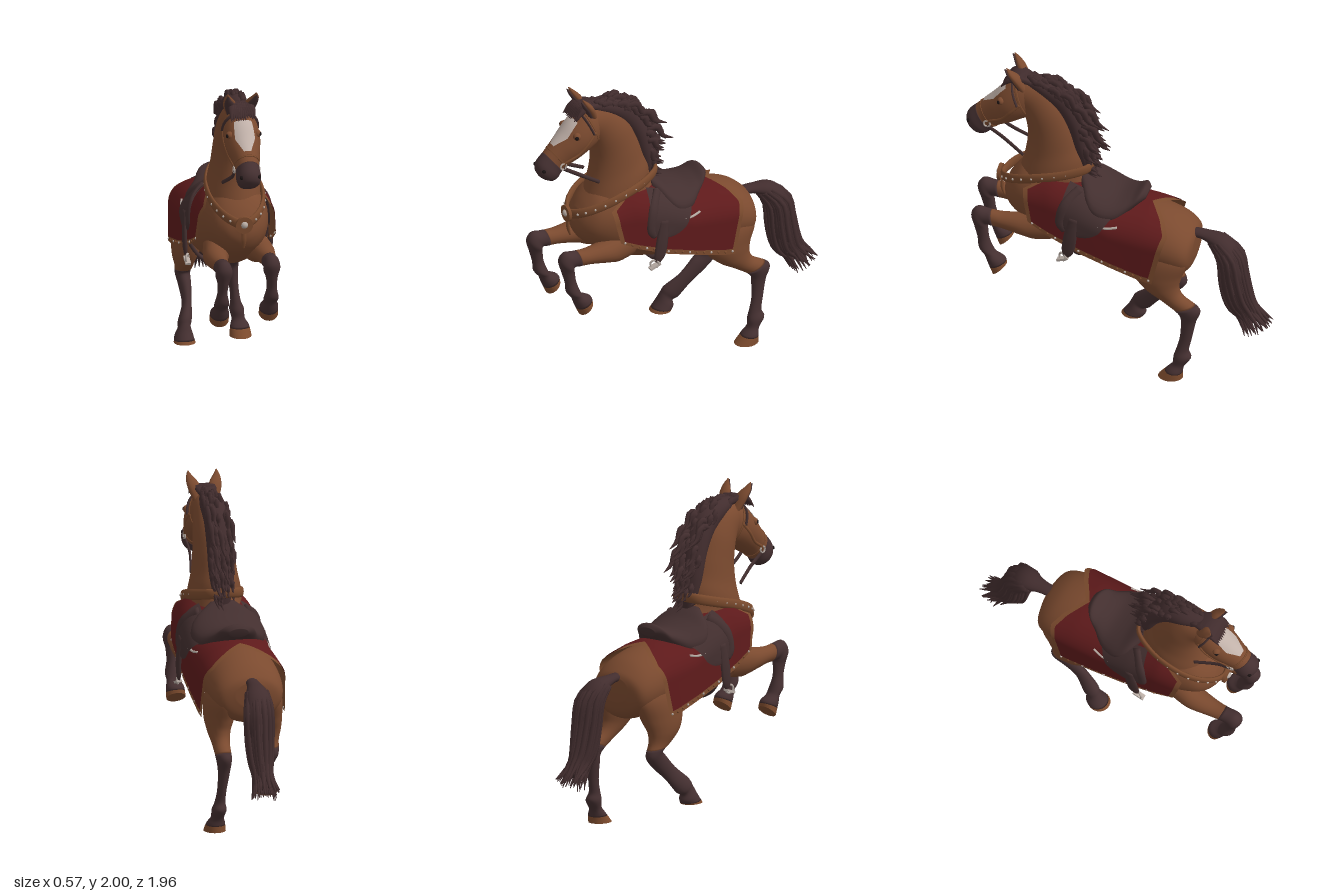
import * as THREE from 'three';
import { toCreasedNormals } from 'three/addons/utils/BufferGeometryUtils.js';

const V = (x, y, z) => new THREE.Vector3(x, y, z);
const { clamp, lerp } = THREE.MathUtils;

const paint = (name, color, side = THREE.FrontSide) => {
  const m = new THREE.MeshStandardMaterial({ color, side });
  m.name = name;
  return m;
};

// Smooth interpolation of a table of rows, s counted in rows
function sample(rows, s) {
  const i = clamp(Math.floor(s), 0, rows.length - 2), f = s - i;
  const R = k => rows[clamp(k, 0, rows.length - 1)];
  return rows[i].map((b, c) => {
    const a = R(i - 1)[c], d = R(i + 1)[c], e = R(i + 2)[c];
    return b + 0.5 * f * (d - a + f * (2 * a - 5 * b + 4 * d - e + f * (3 * (b - d) + e - a)));
  });
}

// Grid surface; closed skins are turned to face outwards
function grid(nu, nv, fn, wrap = false) {
  const pos = [], idx = [], cols = wrap ? nv : nv + 1;
  for (let i = 0; i <= nu; i++) for (let j = 0; j < cols; j++) pos.push(fn(i, j));
  for (let i = 0; i < nu; i++) for (let j = 0; j < nv; j++) {
    const k = (j + 1) % cols, a = i * cols + j, b = a + cols, c = (i + 1) * cols + k, d = i * cols + k;
    idx.push(a, b, c, a, c, d);
  }
  let vol = 0;
  for (let t = 0; t < idx.length; t += 3)
    vol += pos[idx[t]].dot(V(0, 0, 0).crossVectors(pos[idx[t + 1]], pos[idx[t + 2]]));
  if (wrap && vol < 0) idx.reverse();
  const g = new THREE.BufferGeometry().setFromPoints(pos);
  g.setIndex(idx);
  g.computeVertexNormals();
  return g;
}

// Capped skin over elliptical sections
const skin = (frame, n, sides) => grid(n + 2, sides, (i, j) => {
  const { c, A, B } = frame(clamp(i - 1, 0, n) / n), a = j / sides * Math.PI * 2;
  const r = i === 0 || i === n + 2 ? 0 : 1;
  return c.clone().addScaledVector(A, Math.cos(a) * r).addScaledVector(B, Math.sin(a) * r);
}, true);

// Section row: [x, z and y of one edge, z and y of the other edge, half width]
function section(rows, s, k = 1) {
  const [x, z1, y1, z2, y2, w] = sample(rows, s);
  return { c: V(x, (y1 + y2) / 2, (z1 + z2) / 2), A: V(0, (y1 - y2) / 2 * k, (z1 - z2) / 2 * k), B: V(Math.max(w, 0.001) * k, 0, 0) };
}
const loft = (rows, s0 = 0, s1 = rows.length - 1, k = 1, n = 40, sides = 28) =>
  skin(t => section(rows, lerp(s0, s1, t), k), n, sides);
const onLoft = (rows, s, a, k) => {
  const { c, A, B } = section(rows, s, k);
  return c.addScaledVector(A, Math.cos(a)).addScaledVector(B, Math.sin(a));
};

// Sweep row: [x, y, z, half size along the hint axis, half size across]
function sweep(rows, hint = V(1, 0, 0), n = 12, sides = 6) {
  const L = rows.length - 1, at = s => V(...sample(rows, clamp(s, 0, L)).slice(0, 3));
  return skin(t => {
    const r = sample(rows, t * L), T = at(t * L + 0.05).sub(at(t * L - 0.05)).normalize();
    const S = hint.clone().addScaledVector(T, -hint.dot(T)).normalize(), U = V(0, 0, 0).crossVectors(T, S);
    return { c: V(r[0], r[1], r[2]), A: S.multiplyScalar(Math.max(r[3], 0.001)), B: U.multiplyScalar(Math.max(r[4], 0.001)) };
  }, n, sides);
}

// Piecewise linear lookup
function look(table, x) {
  let i = 0;
  while (i < table.length - 2 && x > table[i + 1][0]) i++;
  const a = table[i], b = table[i + 1], f = clamp((x - a[0]) / (b[0] - a[0]), 0, 1);
  return a.slice(1).map((v, c) => lerp(v, b[c + 1], f));
}

// Cloth lying over the back: z, top, shoulder height, half width, hem
const CLOTH = [[-0.36, 1.085, 0.92, 0.255, 0.68], [-0.2, 1.125, 0.93, 0.256, 0.705], [0, 1.145, 0.96, 0.254, 0.765],
  [0.2, 1.25, 1.04, 0.25, 0.83], [0.4, 1.33, 1.1, 0.245, 0.92], [0.57, 1.3, 1.12, 0.235, 1.02]];
function drape(z, v, off) {
  const a = Math.abs(v), [top, mid, w, hem] = look(CLOTH, z), q = Math.min(a / 0.6, 1) * Math.PI / 2;
  const drop = Math.max(0, (a - 0.6) / 0.4);
  return V(Math.sign(v) * ((w + off) * Math.sin(q) + 0.01 * drop), mid + (top + off - mid) * Math.cos(q) - drop * (mid - hem), z);
}
const FRONT = [[0, 0.25], [0.2, 0.39], [0.4, 0.57], [1, 0.53]], BACK = [[0, -0.23], [0.2, -0.315], [0.36, -0.355], [1, -0.27]];
const cloth = (inset, reach, off) => grid(32, 60, (i, j) => {
  const v = (j / 30 - 1) * reach, a = Math.abs(v);
  return drape(lerp(look(BACK, a)[0] + inset, look(FRONT, a)[0] - inset, i / 32), v, off);
});

export function createModel() {
  const coat = paint('chestnut coat', 0x7b4a2f), dark = paint('dark points', 0x453031), hair = paint('hair', 0x422d2e);
  const leather = paint('saddle leather', 0x432f2f, THREE.DoubleSide), red = paint('red cloth', 0x5e1a1b, THREE.DoubleSide);
  const trim = paint('tan trim', 0x7a4a2d, THREE.DoubleSide), horn = paint('hoof', 0x7e4c2e);
  const white = paint('blaze white', 0xc2b2aa, THREE.DoubleSide), metal = paint('metal', 0xb8aca4), black = paint('eye', 0x1c1414);
  const model = new THREE.Group();
  const add = (name, geo, mat, p) => {
    const m = new THREE.Mesh(geo, mat);
    m.name = name;
    if (p) m.position.copy(p);
    model.add(m);
    return m;
  };
  let seed = 7;
  const rnd = (a, b) => { seed = (seed * 16807) % 2147483647; return a + (b - a) * seed / 2147483647; };

  // Torso, neck and head
  add('torso', loft([[0, -0.49, 0.95, -0.485, 0.8, 0.1], [0, -0.465, 0.99, -0.46, 0.72, 0.185], [0, -0.38, 1.055, -0.4, 0.68, 0.222],
    [0, -0.25, 1.1, -0.25, 0.69, 0.235], [0, -0.1, 1.12, -0.1, 0.71, 0.235], [0, 0.05, 1.15, 0.06, 0.705, 0.235],
    [0, 0.2, 1.23, 0.25, 0.73, 0.232], [0, 0.33, 1.32, 0.42, 0.78, 0.222], [0, 0.45, 1.35, 0.56, 0.86, 0.205],
    [0, 0.58, 1.32, 0.68, 0.95, 0.17], [0, 0.66, 1.25, 0.73, 1.03, 0.11], [0, 0.71, 1.18, 0.74, 1.1, 0.04]], 0, 11, 1, 60, 36), coat);
  add('neck', loft([[0, 0.12, 1.15, 0.66, 1.0, 0.17], [0, 0.2, 1.3, 0.68, 1.13, 0.17], [0, 0.22, 1.4, 0.645, 1.25, 0.16],
    [0, 0.25, 1.48, 0.61, 1.38, 0.14], [0, 0.29, 1.6, 0.595, 1.5, 0.128], [0, 0.36, 1.75, 0.605, 1.6, 0.118],
    [0, 0.47, 1.86, 0.63, 1.66, 0.1], [0, 0.6, 1.89, 0.68, 1.7, 0.085]], 0, 7, 1, 50, 32), coat);
  const HEAD = [[0, 0.56, 1.89, 0.54, 1.74, 0.07], [0, 0.66, 1.885, 0.57, 1.64, 0.1], [0, 0.75, 1.82, 0.63, 1.6, 0.113],
    [0, 0.82, 1.745, 0.7, 1.56, 0.103], [0, 0.88, 1.685, 0.77, 1.525, 0.084], [0, 0.93, 1.635, 0.82, 1.49, 0.073],
    [0, 0.98, 1.58, 0.85, 1.455, 0.076], [0, 0.99, 1.53, 0.885, 1.44, 0.062], [0, 0.97, 1.485, 0.92, 1.45, 0.03]];
  add('head', loft(HEAD, 0, 5.1), coat);
  add('muzzle', loft(HEAD, 5, 8, 1.01), dark);
  add('blaze', grid(16, 8, (i, j) => onLoft(HEAD, lerp(1.8, 4, i / 16), (j / 4 - 1) * look([[0, 0.5], [0.5, 0.62], [1, 0.27]], i / 16)[0], 1.025)), white);

  // Legs, each split into coat, dark stocking and hoof
  function leg(name, rows, s1, s2) {
    add(name + ' upper', loft(rows, 0, s1, 1, 32, 20), coat);
    add(name + ' stocking', loft(rows, s1 - 0.05, s2, 1.01, 40, 20), dark);
    add(name + ' hoof', toCreasedNormals(loft(rows, s2, rows.length - 1, 1.01, 6, 20), 0.9), horn);
  }
  leg('left hind leg', [[0.12, -0.14, 0.95, -0.36, 0.95, 0.07], [0.145, -0.08, 0.8, -0.465, 0.83, 0.093], [0.155, -0.11, 0.7, -0.43, 0.7, 0.09],
    [0.165, -0.2, 0.6, -0.42, 0.63, 0.07], [0.17, -0.31, 0.53, -0.45, 0.57, 0.054], [0.178, -0.42, 0.45, -0.555, 0.5, 0.046],
    [0.178, -0.435, 0.38, -0.53, 0.405, 0.036], [0.187, -0.43, 0.28, -0.505, 0.28, 0.028], [0.194, -0.41, 0.2, -0.49, 0.2, 0.032],
    [0.2, -0.395, 0.15, -0.505, 0.15, 0.045], [0.205, -0.39, 0.1, -0.465, 0.09, 0.041], [0.21, -0.355, 0.06, -0.455, 0.05, 0.058],
    [0.21, -0.3, 0, -0.455, 0, 0.068]], 4.7, 11.2);
  leg('right hind leg', [[-0.12, -0.14, 0.95, -0.36, 0.95, 0.07], [-0.145, -0.06, 0.8, -0.455, 0.82, 0.093], [-0.16, -0.06, 0.69, -0.4, 0.68, 0.09],
    [-0.175, -0.1, 0.6, -0.36, 0.6, 0.07], [-0.172, -0.17, 0.53, -0.35, 0.53, 0.054], [-0.168, -0.245, 0.485, -0.37, 0.44, 0.046],
    [-0.165, -0.2, 0.435, -0.3, 0.365, 0.038], [-0.172, -0.12, 0.355, -0.2, 0.285, 0.03], [-0.2, -0.035, 0.28, -0.125, 0.195, 0.043],
    [-0.21, -0.01, 0.235, -0.09, 0.175, 0.04], [-0.215, 0.015, 0.185, -0.095, 0.14, 0.056], [-0.215, 0.06, 0.122, -0.08, 0.115, 0.067]], 4.5, 10.65);
  const FORE = [[0.12, 0.36, 1.0, 0.4, 0.82, 0.07], [0.13, 0.5, 1, 0.5, 0.81, 0.085], [0.15, 0.6, 0.98, 0.58, 0.835, 0.075],
    [0.155, 0.72, 0.967, 0.7, 0.86, 0.056], [0.155, 0.81, 0.975, 0.78, 0.865, 0.047], [0.155, 0.88, 0.982, 0.81, 0.87, 0.049],
    [0.155, 0.915, 0.93, 0.815, 0.855, 0.052], [0.157, 0.897, 0.85, 0.81, 0.83, 0.037], [0.16, 0.875, 0.77, 0.8, 0.76, 0.031],
    [0.16, 0.865, 0.7, 0.77, 0.68, 0.046], [0.16, 0.83, 0.65, 0.745, 0.655, 0.043], [0.16, 0.81, 0.6, 0.7, 0.63, 0.056],
    [0.16, 0.775, 0.52, 0.69, 0.595, 0.06]];
  leg('left foreleg', FORE, 3.8, 11.4);
  leg('right foreleg', FORE.map(([x, z1, y1, z2, y2, w]) => [-x, z1 + 0.05, y1, z2 + 0.05, y2, w]), 3.8, 11.4);

  // Mane
  const MANE = [[0, 0.64, 1.915, 0.62, 1.85, 0.035], [0, 0.48, 1.915, 0.5, 1.79, 0.075], [0, 0.33, 1.85, 0.41, 1.7, 0.078],
    [0, 0.23, 1.68, 0.345, 1.6, 0.082], [0, 0.185, 1.5, 0.3, 1.45, 0.08], [0, 0.175, 1.35, 0.26, 1.33, 0.06], [0, 0.18, 1.25, 0.21, 1.25, 0.03]];
  add('mane', loft(MANE), hair);
  for (let i = 0; i < 84; i++) {
    const s = 0.3 + 4.9 * i / 84, p = onLoft(MANE, s, rnd(-1.3, 1.3), 0.9);
    const l = rnd(0.07, 0.165) * (s > 3.6 ? 0.85 : 1), back = rnd(0.25, 0.85) * (s > 4 ? 0.3 : 1), x = p.x + rnd(-0.01, 0.01);
    add('mane lock', sweep([[p.x, p.y, p.z, 0.012, 0.018], [x, p.y + 0.004, p.z - l * back * 0.6, 0.016, 0.024],
      [x, p.y - l * 0.45, p.z - l * back * 0.9, 0.012, 0.017], [x * 0.95, p.y - l * 0.7, p.z - l * (back + 0.4), 0.002, 0.002]], V(1, 0, 0), 8), hair);
  }
  for (let i = 0; i < 11; i++) {
    const x = (i / 5 - 1) * 0.065, l = rnd(0, 0.015);
    add('forelock', sweep([[x * 0.5, 1.88, 0.56, 0.02, 0.02], [x * 0.8, 1.91, 0.65, 0.024, 0.022],
      [x, 1.89, 0.71, 0.019, 0.016], [x * 1.15, 1.85 - l, 0.745 + l, 0.002, 0.002]], V(1, 0, 0), 10), hair);
  }

  // Tail
  const TAIL = [[0, 0.95, -0.44, 0.038, 0.03], [0, 0.945, -0.54, 0.045, 0.03], [0.01, 0.9, -0.66, 0.078, 0.058], [0.02, 0.77, -0.72, 0.09, 0.082],
    [0.02, 0.6, -0.735, 0.08, 0.085], [0.02, 0.47, -0.79, 0.062, 0.08], [0.02, 0.38, -0.86, 0.03, 0.04]];
  add('tail', sweep(TAIL, V(1, 0, 0), 32, 16), hair);
  for (let i = 0; i < 44; i++) {
    const a = i * 2.4, r = rnd(0.75, 1), d = rnd(-0.09, 0.1);
    const row = s => {
      const [x, y, z, w, h] = sample(TAIL, s);
      return [x + Math.cos(a) * w * r, y + Math.sin(a) * h * 0.35, z - Math.sin(a) * h * r, 0.016, 0.016];
    };
    add('tail strand', sweep([row(1.6), row(2.6), row(3.6), row(4.5), row(5.2),
      [0.02 + Math.cos(a) * 0.08, 0.335 + d * 0.45, -0.885 - Math.sin(a) * 0.05 - d * 0.45, 0.002, 0.002]], V(1, 0, 0), 14), hair);
  }

  // Saddle cloth and saddle
  add('cloth border', cloth(0, 1, 0), trim);
  add('saddle cloth', cloth(0.03, 0.93, 0.006), red);
  add('saddle seat', loft([[0, -0.185, 1.215, -0.165, 1.16, 0.06], [0, -0.155, 1.24, -0.11, 1.11, 0.112], [0, -0.09, 1.208, -0.07, 1.065, 0.145],
    [0, 0, 1.195, 0, 1.0, 0.205], [0, 0.1, 1.228, 0.1, 1.0, 0.232], [0, 0.17, 1.275, 0.17, 1.06, 0.2], [0, 0.23, 1.315, 0.22, 1.12, 0.11]]), leather);

  // Collar round the chest
  const half = [[0.09, 1.345, 0.2], [0.148, 1.315, 0.32], [0.17, 1.28, 0.47], [0.15, 1.235, 0.61], [0.09, 1.19, 0.715]];
  const ring = [[0, 1.355, 0.17], ...half, [0, 1.16, 0.76], ...half.map(([x, y, z]) => [-x, y, z]).reverse(), [0, 1.355, 0.17]].map(p => [...p, 0.032, 0.014]);
  add('breast collar', sweep(ring, V(0, 1, 0), 72, 12), trim);
  add('medallion', new THREE.CylinderGeometry(0.054, 0.054, 0.02, 24), trim, V(0, 1.16, 0.775)).rotation.x = Math.PI / 2;
  add('medallion boss', new THREE.SphereGeometry(0.024, 10, 8), metal, V(0, 1.163, 0.778));
  add('chest strap', sweep([[0, 1.13, 0.765, 0.014, 0.008], [0, 1.06, 0.765, 0.016, 0.01], [0, 1.0, 0.75, 0.008, 0.006]]), trim);

  // Girth under the belly
  const girth = [[-0.255, 0.95, 0.24], [-0.232, 0.86, 0.23], [-0.15, 0.755, 0.22], [0, 0.722, 0.21], [0.15, 0.755, 0.22], [0.232, 0.86, 0.23], [0.255, 0.95, 0.24]];
  add('girth', sweep(girth.map(p => [...p, 0.032, 0.012]), V(0, 0, 1), 36, 8), leather);

  for (const s of [1, -1]) {
    // Saddle flap, pad edge, stirrup and leather
    add('saddle flap', grid(16, 16, (i, j) => {
      const u = i / 16, w = lerp(0.16, 0.115, u) * Math.sqrt(1 - Math.max(0, (u - 0.6) / 0.4) ** 2 * 0.85);
      return drape(lerp(0.13, 0.235, u) + w * (j / 8 - 1), s * lerp(0.2, 0.76, u), 0.014 + 0.006 * Math.sin(j / 16 * Math.PI));
    }), leather);
    add('pad edge', sweep([[0.252, 1.045, 0.08], [0.241, 1.037, 0.02], [0.228, 1.047, -0.04]].map(([x, y, z]) => [s * x, y, z, 0.008, 0.008]), V(1, 0, 0), 8), metal);
    add('flap roll', sweep([[s * 0.15, 1.235, 0.22, 0.02, 0.03], [s * 0.235, 1.16, 0.29, 0.018, 0.035], [s * 0.256, 1.04, 0.32, 0.016, 0.03], [s * 0.256, 0.98, 0.29, 0.01, 0.02]], V(1, 0, 0), 16, 10), leather);
    add('stirrup leather', sweep([[s * 0.262, 1.08, 0.23, 0.014, 0.03], [s * 0.27, 0.95, 0.25, 0.014, 0.042], [s * 0.268, 0.85, 0.265, 0.014, 0.04], [s * 0.264, 0.8, 0.28, 0.01, 0.022]], V(1, 0, 0), 16, 8), leather);
    add('stirrup', new THREE.TorusGeometry(0.026, 0.007, 8, 20), metal, V(s * 0.262, 0.79, 0.3)).rotation.y = 1.1;
    add('stirrup tread', new THREE.BoxGeometry(0.035, 0.014, 0.075), metal, V(s * 0.262, 0.775, 0.3)).rotation.x = 0.35;

    // Studs on collar and hem
    for (let i = 0; i < 9; i++) {
      const p = sample(ring, 1.4 + i * 0.48);
      add('collar stud', new THREE.SphereGeometry(0.008, 8, 6), metal, V(s * (p[0] + 0.01), p[1], p[2] + 0.01));
    }
    for (let i = 0; i < 16; i++)
      add('hem stud', new THREE.SphereGeometry(0.008, 8, 6), i % 3 ? trim : metal, drape(lerp(-0.25, 0.5, i / 15), s * 0.965, 0));

    // Ears and eyes
    const ear = [[0.05, 1.83, 0.61, 0.028, 0.022], [0.067, 1.91, 0.65, 0.04, 0.024], [0.085, 1.96, 0.685, 0.026, 0.016], [0.09, 2, 0.71, 0.003, 0.003]];
    add('ear', sweep(ear.map(([x, ...r]) => [s * x, ...r]), V(1, 0, 0), 16, 12), coat);
    add('inner ear', sweep(ear.map(([x, y, z, a, b]) => [s * x, y - 0.008, z + 0.013, a * 0.8, b * 0.75]), V(1, 0, 0), 16, 10), dark);
    const eye = onLoft(HEAD, 2.35, s * 0.95, 0.93);
    add('eyelid', new THREE.SphereGeometry(0.026, 14, 10), coat, eye);
    add('eye', new THREE.SphereGeometry(0.014, 12, 10), black, eye.clone().add(V(s * 0.014, 0, 0.008)));
    add('nostril', new THREE.SphereGeometry(0.013, 10, 8), black, onLoft(HEAD, 6.3, s * 0.85, 0.97));

    // Cheek strap, bit and rein
    const strap = [[1.15, 1.6], [2, 1.75], [3, 1.9], [4.3, 1.8], [4.9, 2]].map(([t, a]) => [...onLoft(HEAD, t, s * a, 1.01).toArray(), 0.007, 0.01]);
    add('cheek strap', sweep(strap, V(1, 0, 0), 20, 8), trim);
    add('brow strap', sweep([0.3, 0.8, 1.2, 1.6].map(a => [...onLoft(HEAD, 1.35, s * a, 1.02).toArray(), 0.007, 0.012]), V(0, 0, 1), 14, 8), leather);
    add('bit ring', new THREE.TorusGeometry(0.02, 0.006, 8, 18), metal, V(s * 0.078, 1.555, 0.84)).rotation.y = Math.PI / 2;
    add('rein', sweep([[s * 0.076, 1.54, 0.84, 0.008, 0.012], [s * 0.07, 1.47, 0.74, 0.008, 0.013], [s * 0.1, 1.385, 0.6, 0.008, 0.012]], V(1, 0, 0), 14, 8), leather);
  }

  // Bridle bands round the head
  add('noseband', loft(HEAD, 4.35, 4.5, 1.035, 4), trim);
  add('crown band', loft(HEAD, 1.05, 1.2, 1.03, 4), trim);
  return model;
}
